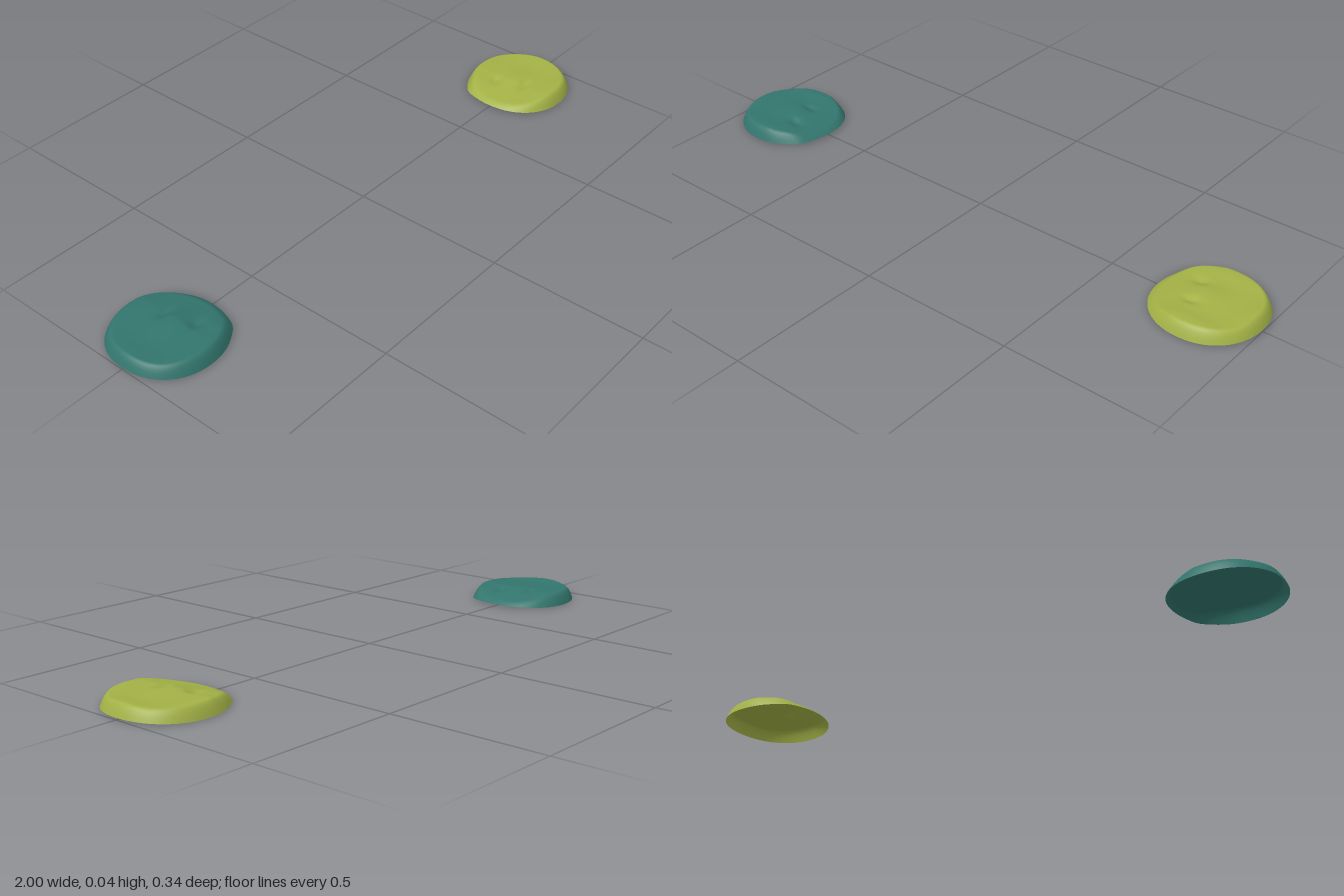
import * as THREE from 'three';
import { mergeVertices } from 'three/addons/utils/BufferGeometryUtils.js';

const R = 0.169;
const bump = (u, v, cu, cv, su, sv) => Math.exp(-(((u - cu) / su) ** 2) - ((v - cv) / sv) ** 2);

// Height of the shell's upper surface; u and v run from -1 to 1
function crown(u, v) {
  const ramp = THREE.MathUtils.clamp((-0.2 - u) / 0.8, 0, 1);
  let y = 0.037 - 0.021 * ramp;
  y += 0.007 * bump(u, v, -0.1, 0, 0.4, 0.3); // central swelling
  y += 0.006 * bump(u, v, 0.85, 0, 0.25, 0.45); // raised outer rim
  y += 0.005 * (bump(u, v, 0.1, 0.75, 0.6, 0.2) + bump(u, v, -0.1, -0.75, 0.6, 0.2)); // side swellings
  y += 0.006 * bump(u, v, -0.6, -0.62, 0.25, 0.25); // lumpy corner
  y -= 0.008 * (bump(u, v, -0.36, -0.3, 0.15, 0.1) + bump(u, v, -0.2, 0.27, 0.16, 0.09)); // dents
  return y;
}

// Nearly round, slightly squared outline with one bulging corner
function outline(a) {
  const c = Math.abs(Math.cos(a)), s = Math.abs(Math.sin(a));
  const corner = Math.atan2(-0.62, -0.82);
  const d = Math.atan2(Math.sin(a - corner), Math.cos(a - corner));
  return (c ** 2.15 + s ** 2.15) ** (-1 / 2.15) + 0.03 * Math.exp(-((d / 0.2) ** 2));
}

function shellGeometry() {
  let g = new THREE.RingGeometry(0, 1, 96, 48).rotateX(-Math.PI / 2);
  const p = g.attributes.position;
  for (let i = 0; i < p.count; i++) {
    const x = p.getX(i), z = p.getZ(i);
    const t = Math.hypot(x, z), a = Math.atan2(z, x), k = outline(a);
    const u = x * k, v = z * k;
    const base = 0.006 * Math.cos(a) ** 2;
    // Rounded side wall rising from the open rim
    const wall = 1 - (1 - Math.min(1, (1 - t) / 0.15)) ** 2;
    p.setXYZ(i, u * R, base + (crown(u, v) - base) * wall, v * R);
  }
  g.deleteAttribute('uv');
  g.deleteAttribute('normal');
  g = mergeVertices(g, 1e-6);
  g.computeVertexNormals();
  return g;
}

export function createModel() {
  const model = new THREE.Group();
  const geometry = shellGeometry();
  // Two matching open shells, turned half a circle from each other
  for (const [name, side, color] of [['leftShell', 1, 0xa2b045], ['rightShell', -1, 0x32756d]]) {
    const shell = new THREE.Mesh(geometry, new THREE.MeshStandardMaterial({ color, side: THREE.DoubleSide }));
    shell.name = name;
    shell.position.x = side * (1 - R);
    if (side < 0) shell.rotation.y = Math.PI;
    model.add(shell);
  }
  return model;
}
